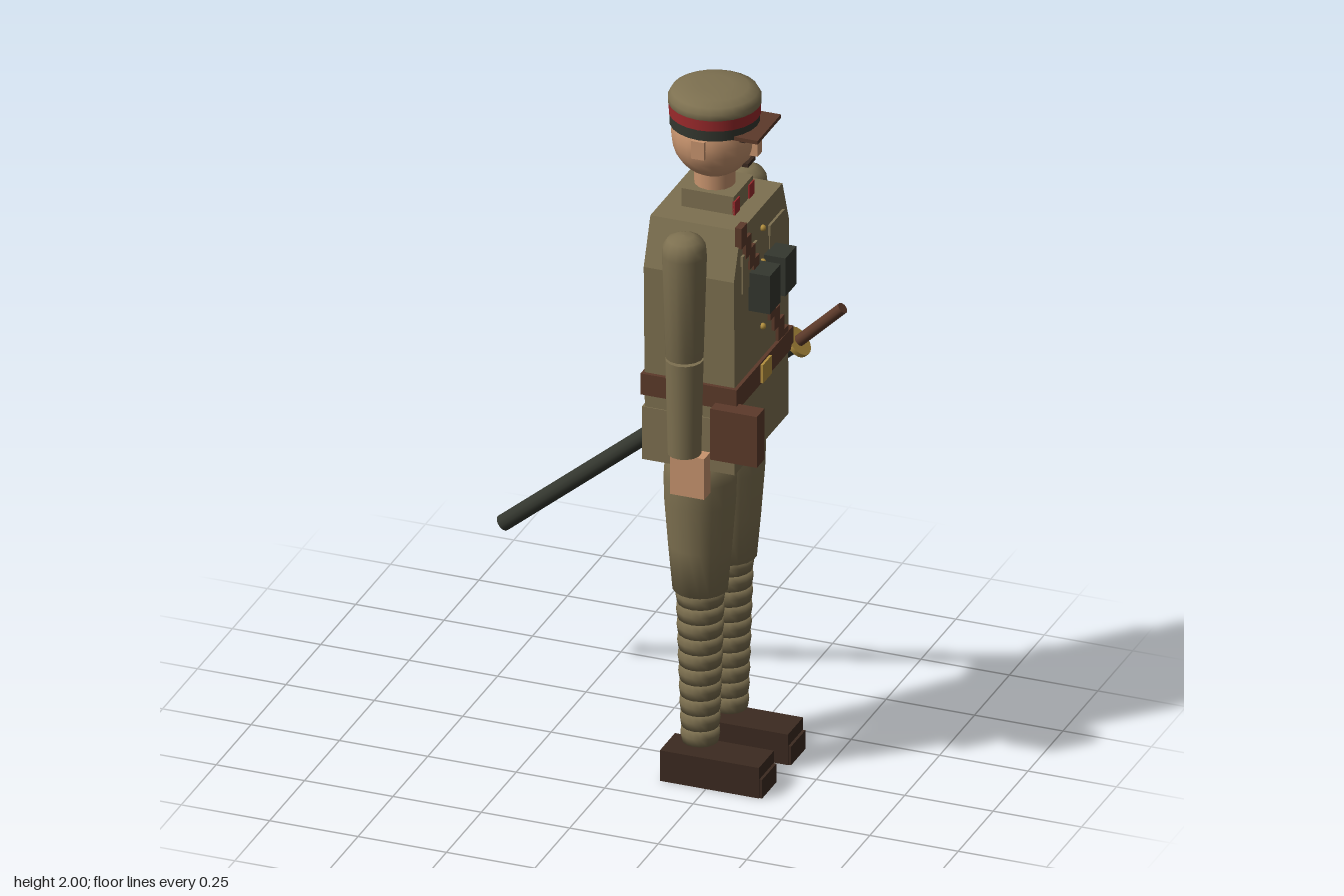
import * as THREE from 'three';

const mat = (name, color) => Object.assign(new THREE.MeshStandardMaterial({ color }), { name });

export function createModel() {
  const khaki = mat('khaki cloth', 0x7d7050);
  const skin = mat('skin', 0xc8946e);
  const leather = mat('brown leather', 0x5c3a2a);
  const boot = mat('dark boot leather', 0x3c2a20);
  const dark = mat('dark green metal', 0x34372f);
  const gold = mat('brass', 0xb38f3e);
  const red = mat('red cloth', 0x9c2a2c);

  const model = new THREE.Group();
  model.name = 'soldier';
  const CX = 0.213; // body axis; the figure faces +x

  const add = (name, geo, material, x = 0, y = 0, z = 0) => {
    const m = new THREE.Mesh(geo, material);
    m.name = name;
    m.position.set(x, y, z);
    model.add(m);
    return m;
  };
  // box from its limits on each axis
  const box = (name, material, x0, x1, y0, y1, z0, z1) =>
    add(name, new THREE.BoxGeometry(x1 - x0, y1 - y0, z1 - z0), material,
      (x0 + x1) / 2, (y0 + y1) / 2, (z0 + z1) / 2);
  const lathe = (name, material, pts, z = 0, seg = 20) =>
    add(name, new THREE.LatheGeometry(pts.map(p => new THREE.Vector2(...p)), seg), material, CX, 0, z);
  // tapered rod between two points
  const rod = (name, material, a, b, ra, rb, seg = 12) => {
    const A = new THREE.Vector3(...a), B = new THREE.Vector3(...b);
    const d = B.clone().sub(A);
    const m = add(name, new THREE.CylinderGeometry(rb, ra, d.length(), seg), material);
    m.position.copy(A).add(B).multiplyScalar(0.5);
    m.quaternion.setFromUnitVectors(new THREE.Vector3(0, 1, 0), d.normalize());
    return m;
  };

  // Head and face
  const head = add('head', new THREE.SphereGeometry(0.12, 20, 14), skin, CX, 1.86, 0);
  head.scale.set(0.96, 1, 1);
  rod('neck', skin, [CX, 1.69, 0], [CX, 1.78, 0], 0.055, 0.055, 14);
  box('nose', skin, 0.31, 0.34, 1.815, 1.865, -0.015, 0.015);
  box('moustache', boot, 0.29, 0.318, 1.784, 1.795, -0.027, 0.027);
  for (const s of [-1, 1]) {
    const zc = s * 0.047;
    box('eye', boot, 0.3, 0.323, 1.875, 1.888, zc - 0.017, zc + 0.017);
    box('ear', skin, 0.195, 0.232, 1.835, 1.887, s * 0.118 - 0.007, s * 0.118 + 0.007);
  }

  // Cap
  lathe('capCrown', khaki, [[0.118, 1.945], [0.124, 1.952], [0.124, 1.968], [0.115, 1.984],
    [0.09, 1.995], [0.05, 2.0], [0, 2.0]], 0, 24);
  rod('capRedBand', red, [CX, 1.92, 0], [CX, 1.952, 0], 0.122, 0.123, 24);
  rod('capLowerBand', dark, [CX, 1.89, 0], [CX, 1.92, 0], 0.12, 0.12, 24);
  box('capVisor', leather, 0.28, 0.367, 1.888, 1.899, -0.083, 0.083);

  // Tunic with sloping shoulders
  const shape = new THREE.Shape([[-0.15, 1.66], [-0.198, 1.53], [-0.19, 1.11], [0.19, 1.11],
    [0.198, 1.53], [0.15, 1.66]].map(p => new THREE.Vector2(...p)));
  const torsoGeo = new THREE.ExtrudeGeometry(shape, { depth: 0.255, bevelEnabled: false });
  torsoGeo.rotateY(Math.PI / 2);
  add('tunic', torsoGeo, khaki, 0.09, 0, 0);
  box('tunicSkirt', khaki, 0.083, 0.345, 0.96, 1.115, -0.193, 0.193);
  box('collar', khaki, 0.147, 0.294, 1.655, 1.713, -0.07, 0.07);
  for (const s of [-1, 1]) {
    box('collarTab', red, 0.29, 0.298, 1.66, 1.7, s * 0.052 - 0.018, s * 0.052 + 0.018);
    box('pocket', khaki, 0.34, 0.348, 1.47, 1.56, s * 0.097 - 0.045, s * 0.097 + 0.045);
    box('pocketFlap', khaki, 0.34, 0.352, 1.555, 1.585, s * 0.097 - 0.052, s * 0.097 + 0.052);
  }
  for (const y of [1.6, 1.5, 1.405, 1.31]) {
    add('button', new THREE.SphereGeometry(0.009, 10, 8), gold, 0.349, y, 0);
  }

  // Belt, strap and pouch
  box('belt', leather, 0.083, 0.355, 1.155, 1.217, -0.203, 0.203);
  box('buckle', gold, 0.35, 0.362, 1.158, 1.212, -0.031, 0.031);
  const steps = 11;
  for (let i = 0; i < steps; i++) {
    const t = i / (steps - 1);
    const z = 0.145 - 0.295 * t, y = 1.645 - 0.44 * t;
    box('strapSegment', leather, 0.335, 0.354, y - 0.03, y + 0.03, z - 0.02, z + 0.02);
  }
  box('pouch', leather, 0.295, 0.427, 1.02, 1.17, 0.187, 0.241);

  // Binoculars
  for (const s of [-1, 1]) {
    box('binocularBarrel', dark, 0.345, 0.406, 1.4, 1.512, s * 0.056 - 0.039, s * 0.056 + 0.039);
  }
  box('binocularBridge', dark, 0.352, 0.385, 1.45, 1.475, -0.02, 0.02);

  for (const s of [-1, 1]) {
    // Arms
    const az = s * 0.218;
    lathe('upperArm', khaki, [[0, 1.3], [0.051, 1.3], [0.06, 1.6], [0.058, 1.625], [0.046, 1.645],
      [0.025, 1.655], [0, 1.657]], az, 14);
    rod('forearm', khaki, [CX, 1.015, az], [CX, 1.292, az], 0.045, 0.051, 14);
    box('hand', skin, 0.18, 0.276, 0.895, 1.015, s * 0.214 - 0.022, s * 0.214 + 0.022);

    // Legs with wrapped shins
    const lz = s * 0.104;
    lathe('breeches', khaki, [[0, 0.565], [0.074, 0.565], [0.086, 0.7], [0.096, 0.83],
      [0.098, 0.9], [0.092, 0.98], [0, 0.98]], lz, 18);
    const wraps = 10, h = 0.455 / wraps;
    for (let i = 0; i < wraps; i++) {
      const y = 0.115 + i * h, r = 0.049 + 0.0145 * (i / wraps);
      lathe('legWrap', khaki, [[0, y], [r, y], [r + 0.0035, y + h * 0.5], [r + 0.001, y + h], [0, y + h]], lz, 16);
    }

    // Boots
    box('boot', boot, 0.12, 0.4, 0, 0.09, lz - 0.054, lz + 0.054);
    box('bootToe', boot, 0.34, 0.408, 0, 0.055, lz - 0.051, lz + 0.051);
  }

  // Sword
  rod('scabbard', dark, [-0.485, 0.455, -0.25], [0.35, 1.15, -0.231], 0.023, 0.023);
  rod('swordGuard', gold, [0.351, 1.151, -0.23], [0.361, 1.16, -0.23], 0.043, 0.043, 18);
  rod('swordHandle', leather, [0.355, 1.155, -0.23], [0.484, 1.28, -0.23], 0.016, 0.016);

  return model;
}
